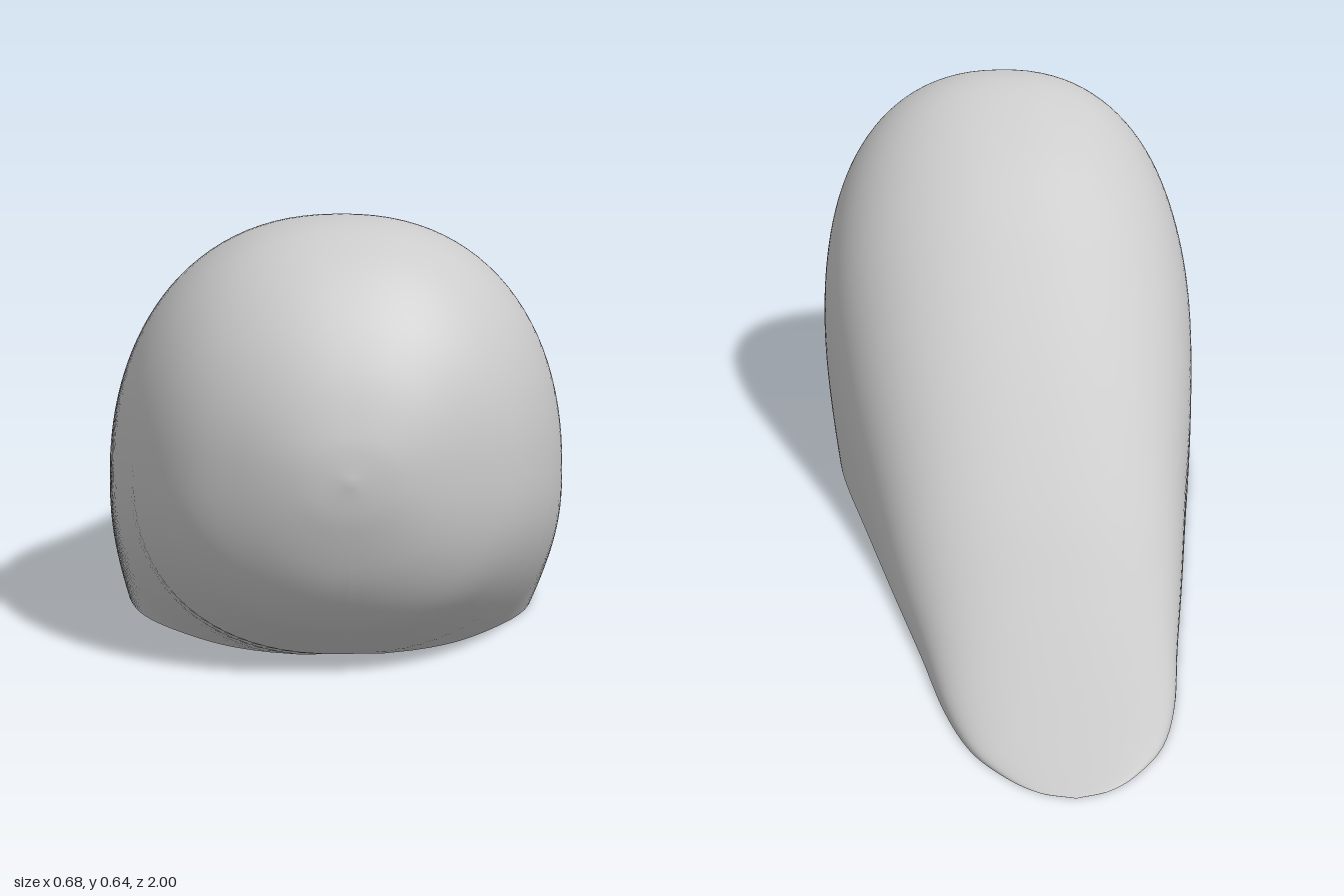
import * as THREE from 'three';

// Stations from the bulbous nose to the thin tail:
// z, half width, top height, height of the widest point, underside height (below 0 = cut open by the ground)
const STATIONS = [
  [1, 0, 0.31, 0.31, 0.31],
  [0.99, 0.075, 0.375, 0.31, 0.24],
  [0.96, 0.15, 0.46, 0.305, 0.15],
  [0.91, 0.225, 0.54, 0.295, 0.08],
  [0.84, 0.28, 0.605, 0.28, 0.03],
  [0.75, 0.318, 0.635, 0.26, -0.025],
  [0.64, 0.337, 0.625, 0.225, -0.09],
  [0.5, 0.338, 0.555, 0.185, -0.22],
  [0.3, 0.317, 0.417, 0.11, -0.4],
  [0.05, 0.28, 0.275, 0.04, -0.5],
  [-0.25, 0.238, 0.157, 0, -0.5],
  [-0.5, 0.202, 0.097, 0, -0.5],
  [-0.7, 0.175, 0.056, 0, -0.5],
  [-0.84, 0.142, 0.03, 0, -0.5],
  [-0.93, 0.095, 0.013, 0, -0.5],
  [-0.98, 0.05, 0.004, 0, -0.5],
  [-1, 0, 0, 0, -0.5],
];
const RINGS = 128, SEGS = 80, POWER = 2.25;

const spline = (a, b, c) => new THREE.CatmullRomCurve3(
  STATIONS.map((s) => new THREE.Vector3(s[a], s[b], s[c])), false, 'catmullrom', 0.5);
const signedPow = (v) => Math.sign(v) * Math.abs(v) ** (2 / POWER);

function shellGeometry() {
  const outline = spline(0, 1, 2), lower = spline(0, 3, 4);
  const pos = [], index = [], closed = [];
  for (let i = 0; i <= RINGS; i++) {
    const { x: z, y: w, z: top } = outline.getPoint(i / RINGS);
    const { y: mid, z: low } = lower.getPoint(i / RINGS);
    const c = Math.max(mid, 0), depth = c - low;
    // The arch runs past its widest point down to the ground, or closes underneath
    const ratio = depth > 1e-6 ? Math.min(c / depth, 1) : 1;
    const dip = Math.asin(ratio ** (POWER / 2));
    closed.push(ratio === 1);
    for (let j = 0; j <= SEGS; j++) {
      const a = -dip + (j / SEGS) * (Math.PI + 2 * dip);
      const s = signedPow(Math.sin(a));
      const y = c + s * (s > 0 ? top - c : depth);
      pos.push(Math.max(w, 0) * signedPow(Math.cos(a)), Math.max(y, 0), z);
      if (i < RINGS && j < SEGS) {
        const p = i * (SEGS + 1) + j, q = p + SEGS + 1;
        index.push(p, q, p + 1, p + 1, q, q + 1);
      }
    }
  }
  const geo = new THREE.BufferGeometry();
  geo.setAttribute('position', new THREE.Float32BufferAttribute(pos, 3));
  geo.setIndex(index);
  geo.computeVertexNormals();

  // Smooth the nose pole and the seam under the chin
  const n = geo.attributes.normal, v = new THREE.Vector3();
  for (let j = 0; j <= SEGS; j++) n.setXYZ(j, 0, 0, 1);
  for (let i = 1; i <= RINGS; i++) {
    if (!closed[i]) continue;
    for (const k of [i * (SEGS + 1), i * (SEGS + 1) + SEGS]) {
      v.fromBufferAttribute(n, k).setX(0).normalize();
      n.setXYZ(k, v.x, v.y, v.z);
    }
  }
  return geo;
}

export function createModel() {
  const group = new THREE.Group();
  group.name = 'teardropShell';
  // Thin shell, open at the bottom
  const shell = new THREE.Mesh(shellGeometry(),
    new THREE.MeshStandardMaterial({ color: 0xcccccc, side: THREE.DoubleSide }));
  shell.name = 'shell';
  group.add(shell);
  return group;
}
